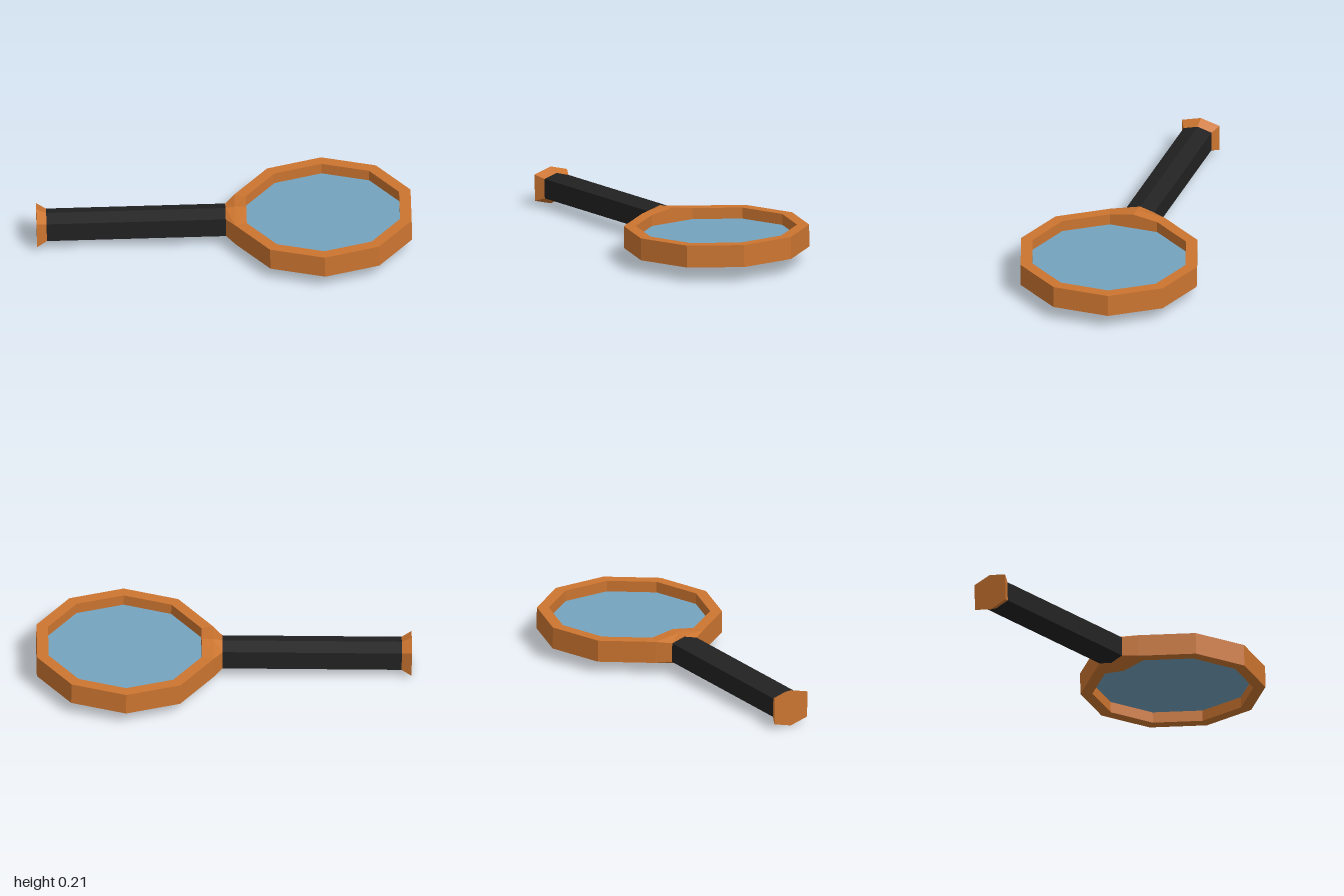
import * as THREE from 'three';

const material = (color, extra = {}) =>
  new THREE.MeshStandardMaterial({ color, flatShading: true, ...extra });

// Joins matching cross-sections with quads; open lofts get flat end caps.
function loft(sections, closed = false) {
  const out = [];
  const tri = (...pts) => pts.forEach((p) => out.push(...p));
  const count = closed ? sections.length : sections.length - 1;
  for (let s = 0; s < count; s++) {
    const a = sections[s], b = sections[(s + 1) % sections.length];
    a.forEach((p, i) => {
      const j = (i + 1) % a.length;
      tri(p, a[j], b[j]);
      tri(p, b[j], b[i]);
    });
  }
  if (!closed) {
    const first = sections[0], last = sections[sections.length - 1];
    for (let i = 1; i < first.length - 1; i++) {
      tri(first[0], first[i + 1], first[i]);
      tri(last[0], last[i], last[i + 1]);
    }
  }
  const geometry = new THREE.BufferGeometry();
  geometry.setAttribute('position', new THREE.Float32BufferAttribute(out, 3));
  geometry.computeVertexNormals();
  return geometry;
}

// Six-sided section across the handle axis: ridge height, side height, half width
const hex = (x, ridge, side, w) => [
  [x, ridge, 0], [x, side, w], [x, -side, w],
  [x, -ridge, 0], [x, -side, -w], [x, side, -w],
];

export function createModel() {
  const model = new THREE.Group();
  model.name = 'magnifyingGlass';

  const orange = material(0xcc7530);
  const black = material(0x222222);
  const blue = material(0x74a3be, { side: THREE.DoubleSide });

  // Everything is built around the lens centre, with the handle along -x.
  const body = new THREE.Group();
  body.name = 'body';
  const add = (name, geometry, mat) => {
    const mesh = new THREE.Mesh(geometry, mat);
    mesh.name = name;
    body.add(mesh);
  };

  const outer = 0.514, inner = 0.447, half = 0.0625, ridge = 0.085;
  const step = Math.PI / 5, flat = Math.cos(step / 2);

  // Ten-sided frame, with one extra raised station where the handle meets it
  const station = (angle, scale, h) => {
    const at = (r, y) => [r * scale * Math.cos(angle), y, -r * scale * Math.sin(angle)];
    return [at(inner, -h), at(inner, h), at(outer, h), at(outer, -h)];
  };
  const stations = [];
  for (let i = 0; i < 10; i++) {
    stations.push(station((i + 0.5) * step, 1, half));
    if (i === 4) stations.push(station(Math.PI, flat, ridge));
  }
  add('frame', loft(stations, true), orange);

  // Lens: a thin pane at mid height
  const lens = new THREE.CircleGeometry(inner, 10, step / 2);
  lens.rotateX(-Math.PI / 2);
  add('lens', lens, blue);

  // Collar narrowing from the frame to the handle
  add('collar', loft([
    hex(-0.541, 0.078, 0.055, 0.0815),
    hex(-outer * flat, ridge, half, outer * Math.sin(step / 2)),
  ]), orange);

  // Handle and flared end cap
  add('handle', loft([
    hex(-1.535, 0.078, 0.055, 0.0815),
    hex(-0.541, 0.078, 0.055, 0.0815),
  ]), black);
  add('endCap', loft([
    hex(-1.59, 0.105, 0.075, 0.11),
    hex(-1.535, 0.078, 0.055, 0.0815),
  ]), orange);

  // Slight tilt, with the handle swung forward to the side
  body.rotation.set(0, THREE.MathUtils.degToRad(25.4), 0.0205);
  body.position.set(0.485, 0.14, -0.14);
  model.add(body);
  return model;
}
